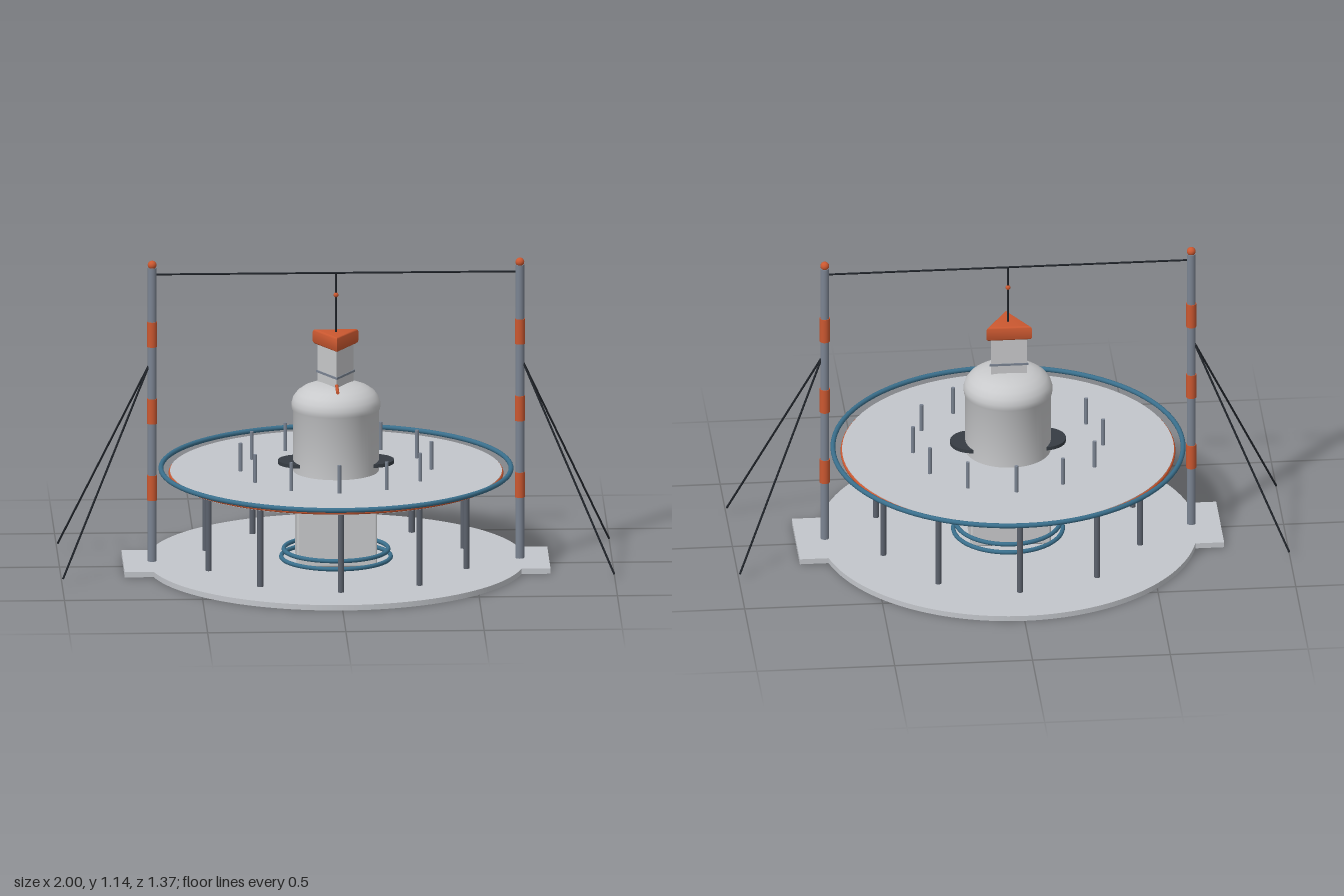
import * as THREE from 'three';
import { toCreasedNormals } from 'three/addons/utils/BufferGeometryUtils.js';
import { RoundedBoxGeometry } from 'three/addons/geometries/RoundedBoxGeometry.js';

const mat = (name, color) => {
  const m = new THREE.MeshStandardMaterial({ color });
  m.name = name;
  return m;
};

export function createModel() {
  const plate = mat('pale grey', 0xc3c6cb);
  const shell = mat('light grey', 0xc8c9cb);
  const steel = mat('steel', 0x7b8492);
  const post = mat('dark steel', 0x5c626d);
  const black = mat('cable black', 0x20242a);
  const padGrey = mat('charcoal', 0x363c43);
  const orange = mat('orange', 0xcb5830);
  const blue = mat('blue', 0x3a6f8c);

  const root = new THREE.Group();
  root.name = 'model';
  const add = (name, geo, material, x = 0, y = 0, z = 0) => {
    const m = new THREE.Mesh(geo, material);
    m.name = name;
    m.position.set(x, y, z);
    root.add(m);
    return m;
  };
  // upright cylinder between two heights
  const pillar = (name, r, y0, y1, material, x = 0, z = 0, sides = 16) =>
    add(name, new THREE.CylinderGeometry(r, r, y1 - y0, sides), material, x, (y0 + y1) / 2, z);
  // three-sided prism with one edge facing the front
  const prism = (name, r, y0, y1, material) =>
    add(name, toCreasedNormals(new THREE.CylinderGeometry(r, r, y1 - y0, 3), 0.5), material, 0, (y0 + y1) / 2, 0);
  // straight rod between two points
  const rod = (name, a, b, r, material) => {
    const p = new THREE.Vector3(...a), q = new THREE.Vector3(...b);
    const m = add(name, new THREE.CylinderGeometry(r, r, p.distanceTo(q), 10), material);
    m.position.copy(p).lerp(q, 0.5);
    m.quaternion.setFromUnitVectors(new THREE.Vector3(0, 1, 0), q.sub(p).normalize());
    return m;
  };
  // horizontal ring
  const ring = (name, R, tube, y, material) =>
    add(name, new THREE.TorusGeometry(R, tube, 12, 96).rotateX(Math.PI / 2), material, 0, y, 0);

  // Ground plate: disc with a tab on each side
  const R = 0.685, tabX = 0.77, tabZ = 0.163, a = Math.asin(tabZ / R);
  const outline = new THREE.Shape();
  outline.moveTo(tabX, -tabZ);
  outline.lineTo(tabX, tabZ);
  outline.absarc(0, 0, R, a, Math.PI - a, false);
  outline.lineTo(-tabX, tabZ);
  outline.lineTo(-tabX, -tabZ);
  outline.absarc(0, 0, R, Math.PI + a, 2 * Math.PI - a, false);
  outline.closePath();
  const ground = new THREE.ExtrudeGeometry(outline, { depth: 0.02, bevelEnabled: false, curveSegments: 48 });
  add('groundPlate', ground.rotateX(-Math.PI / 2), plate);

  // Raised deck with trim and outer rail
  pillar('deck', 0.6, 0.335, 0.352, plate, 0, 0, 96);
  ring('deckTrim', 0.598, 0.0075, 0.343, orange);
  ring('outerRail', 0.633, 0.009, 0.36, blue);

  // Deck posts and upright pins
  for (let i = 0; i < 10; i++) {
    const t = (i + 0.5) * Math.PI / 5;
    pillar('deckPost', 0.011, 0.02, 0.337, post, 0.49 * Math.cos(t), 0.49 * Math.sin(t));
  }
  for (let i = 0; i < 12; i++) {
    const t = i * Math.PI / 6;
    pillar('deckPin', 0.007, 0.35, 0.456, steel, 0.345 * Math.cos(t), 0.345 * Math.sin(t), 10);
  }

  // Pedestal with collar and foot rings
  add('pedestal', new RoundedBoxGeometry(0.29, 0.25, 0.245, 3, 0.008), shell, 0, 0.145, 0);
  add('pedestalCollar', new RoundedBoxGeometry(0.32, 0.025, 0.278, 4, 0.011), orange, 0, 0.276, 0);
  ring('lowerFootRing', 0.198, 0.008, 0.032, blue);
  ring('upperFootRing', 0.189, 0.008, 0.06, blue);

  // Triangular core, tank and side pads
  prism('core', 0.075, 0.27, 0.82, shell);
  const profile = [[0, 0.353], [0.155, 0.353], [0.155, 0.575], [0.16, 0.585], [0.161, 0.605], [0.155, 0.625],
    [0.14, 0.645], [0.117, 0.661], [0.09, 0.671], [0.06, 0.676], [0, 0.678]].map(p => new THREE.Vector2(...p));
  add('tank', toCreasedNormals(new THREE.LatheGeometry(profile, 64), 0.8), shell);
  for (const s of [-1, 1]) pillar('sidePad', 0.08, 0.379, 0.392, padGrey, s * 0.13, 0, 40);

  // Neck band, front lever and triangular cap
  prism('neckBand', 0.081, 0.708, 0.716, steel);
  rod('lever', [0, 0.684, 0.05], [0, 0.684, 0.176], 0.006, orange);
  const tri = new THREE.Shape([-90, 30, 150].map(d => {
    const t = THREE.MathUtils.degToRad(d);
    return new THREE.Vector2(0.08 * Math.cos(t), 0.08 * Math.sin(t));
  }));
  const cap = new THREE.ExtrudeGeometry(tri, { depth: 0.032, bevelSize: 0.011, bevelThickness: 0.011, bevelSegments: 4 });
  add('cap', toCreasedNormals(cap.rotateX(-Math.PI / 2), 0.6), orange, 0, 0.824, 0);

  // Masts with bands, finials and guy wires
  for (const s of [-1, 1]) {
    const x = s * 0.665;
    pillar('mast', 0.016, 0.02, 1.112, steel, x, 0, 20);
    for (const y of [0.247, 0.532, 0.818]) pillar('mastBand', 0.0185, y, y + 0.093, orange, x, 0, 20);
    add('mastFinial', new THREE.SphereGeometry(0.016, 20, 14), orange, x, 1.122, 0);
    for (const z of [-1, 1]) rod('guyWire', [s * 0.674, 0.755, 0], [s * 0.997, 0.022, z * 0.267], 0.0038, black);
  }

  // Overhead cable and hanger
  rod('overheadCable', [-0.665, 1.087, 0], [0.665, 1.087, 0], 0.0035, black);
  rod('hanger', [0, 0.86, 0], [0, 1.087, 0], 0.003, black);
  add('hangerBead', new THREE.SphereGeometry(0.009, 14, 10), orange, 0, 1.005, 0);

  return root;
}
